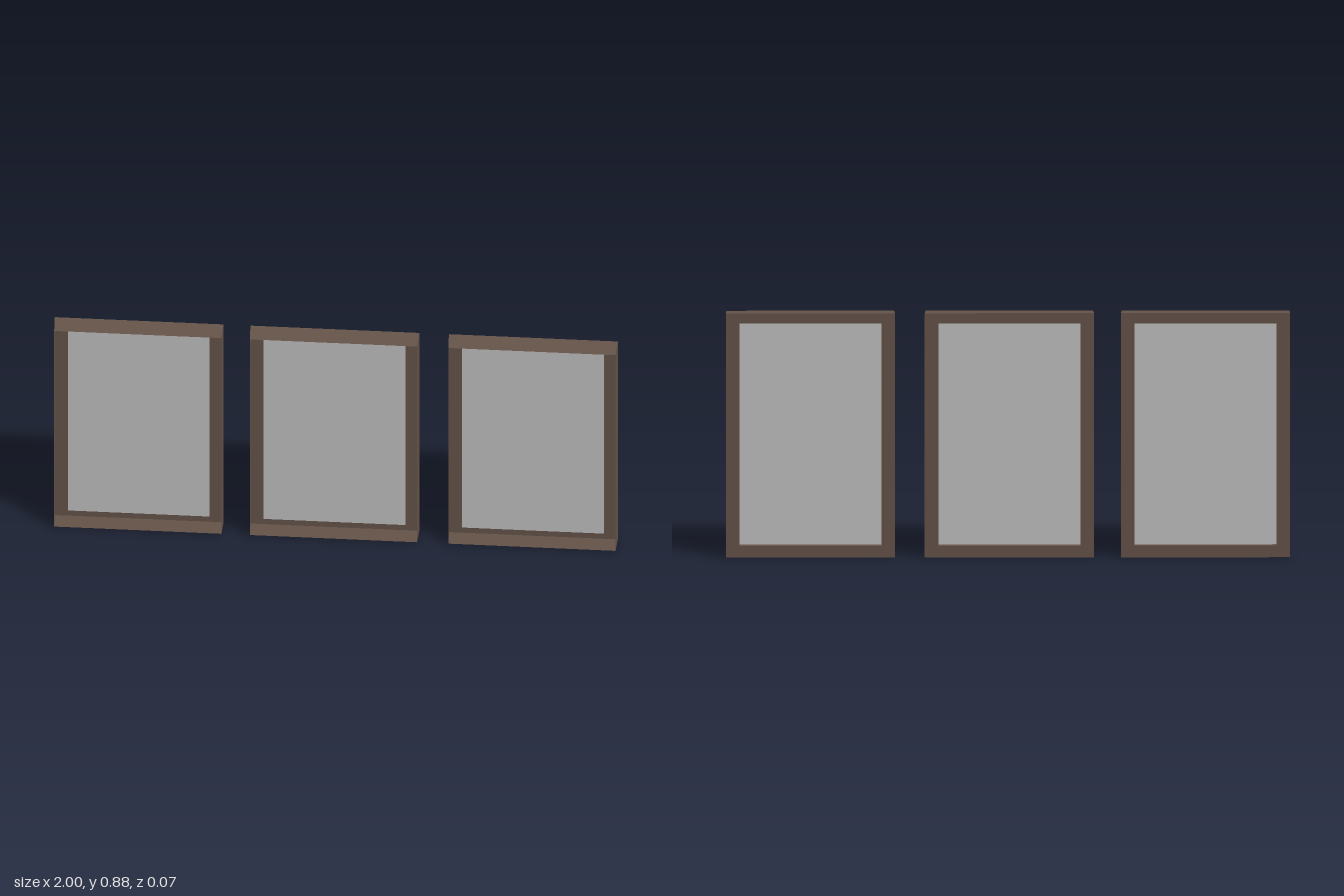
import * as THREE from 'three';

// Open tray section, from front lip to the glass rebate: half width, bottom, top, depth
const SECTIONS = [
  [0.297, 0.005, 0.877, 0.037],   // front lip
  [0.3, 0, 0.882, -0.037],        // outer back edge
  [0.252, 0.042, 0.845, -0.037],  // inner back edge
  [0.252, 0.042, 0.845, -0.012],  // rebate at the glass
];

// Rectangular loop, counter-clockwise from the front
const loop = ([w, bottom, top, z]) => [[-w, bottom, z], [w, bottom, z], [w, top, z], [-w, top, z]];

// Joins successive rectangular loops with flat quads
function loftGeometry(sections) {
  const loops = sections.map(loop);
  const positions = [];
  for (let i = 0; i < loops.length - 1; i++) {
    for (let k = 0; k < 4; k++) {
      const n = (k + 1) % 4;
      const a = loops[i][k], b = loops[i][n];
      const c = loops[i + 1][k], d = loops[i + 1][n];
      positions.push(...a, ...c, ...d, ...a, ...d, ...b);
    }
  }
  const geometry = new THREE.BufferGeometry();
  geometry.setAttribute('position', new THREE.Float32BufferAttribute(positions, 3));
  geometry.computeVertexNormals();
  return geometry;
}

export function createModel() {
  const wood = new THREE.MeshStandardMaterial({ color: 0x67554a, side: THREE.DoubleSide });
  wood.name = 'brownWood';
  const glass = new THREE.MeshStandardMaterial({ color: 0xc4c4c4, side: THREE.DoubleSide });
  glass.name = 'greyGlass';

  const frameGeometry = loftGeometry(SECTIONS);
  const [w, bottom, top, z] = SECTIONS[3];
  const paneGeometry = new THREE.PlaneGeometry(2 * w, top - bottom);
  paneGeometry.translate(0, (top + bottom) / 2, z);

  const model = new THREE.Group();
  model.name = 'windowRow';

  // Three identical windows side by side
  const windows = [['rightWindow', -0.7], ['middleWindow', -0.005], ['leftWindow', 0.7]];
  for (const [name, x] of windows) {
    const unit = new THREE.Group();
    unit.name = name;
    unit.position.x = x;
    const frame = new THREE.Mesh(frameGeometry, wood);
    frame.name = 'frame';
    const pane = new THREE.Mesh(paneGeometry, glass);
    pane.name = 'pane';
    unit.add(frame, pane);
    model.add(unit);
  }
  return model;
}
